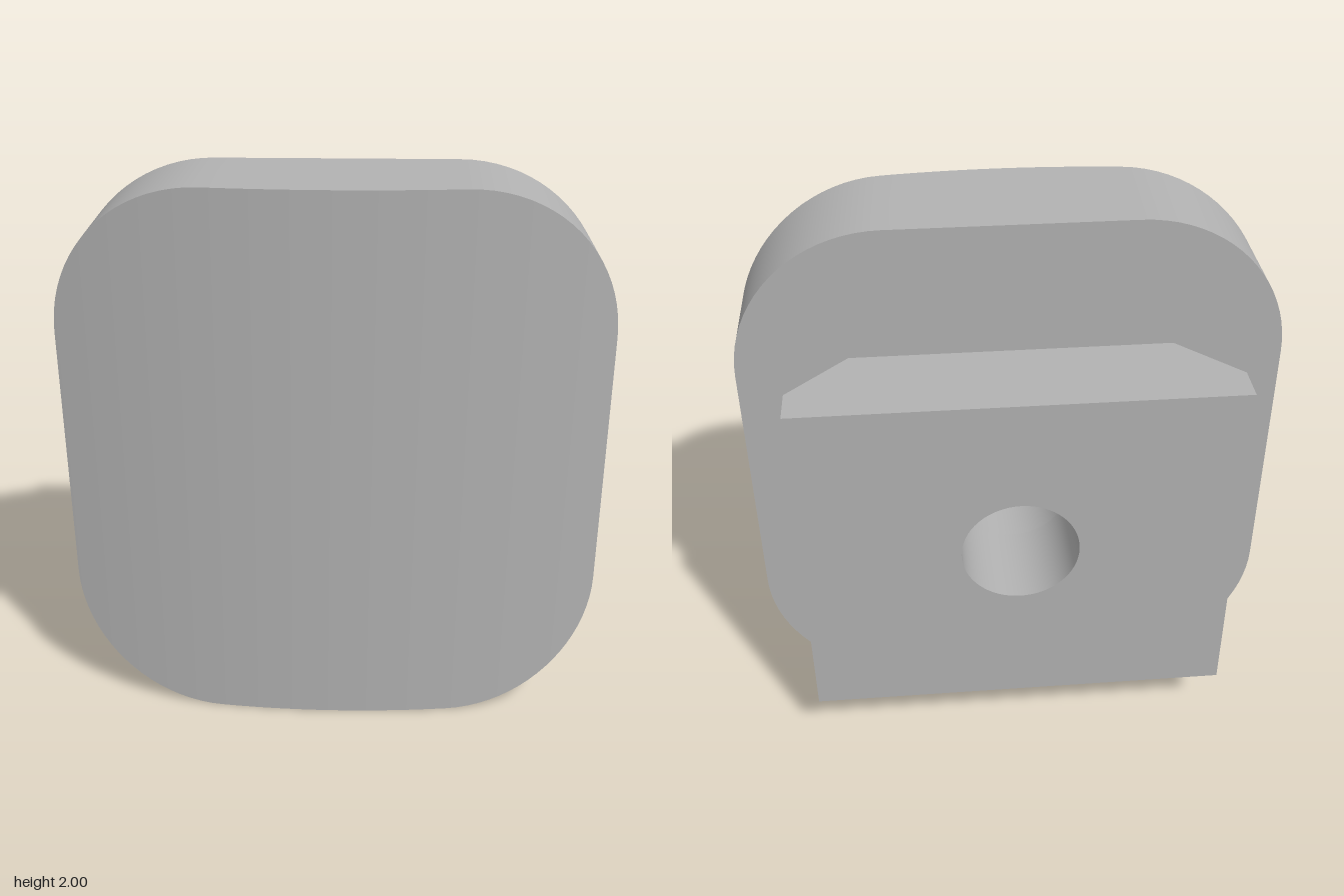
import * as THREE from 'three';
import { toCreasedNormals } from 'three/addons/utils/BufferGeometryUtils.js';

const W = 0.955, H = 1, R = 0.53;              // plate half width, half height, corner radius
const BACK = -0.05, CROWN = 0.395, EDGE = 0.27; // plate back, front centre and front edge in z
const HOLE_R = 0.21, HOLE_Y = 0.9, HOLE_END = 0.2;
const CREASE = 0.5;

// Crowned front: a circular arc across x
const sag = CROWN - EDGE;
const arcR = (W * W + sag * sag) / (2 * sag);
const frontZ = (x) => CROWN - arcR + Math.sqrt(arcR * arcR - x * x);

// Strip of quads between two equally long rows of points
function ribbon(a, b) {
  const pos = [], index = [];
  a.forEach((p, i) => {
    pos.push(...p, ...b[i]);
    const k = 2 * i;
    if (i < a.length - 1) index.push(k, k + 2, k + 3, k, k + 3, k + 1);
  });
  const g = new THREE.BufferGeometry();
  g.setAttribute('position', new THREE.Float32BufferAttribute(pos, 3));
  g.setIndex(index);
  return toCreasedNormals(g, CREASE);
}

function holePath() {
  return new THREE.Path().absarc(0, HOLE_Y, HOLE_R, 0, Math.PI * 2, true);
}

export function createModel() {
  const model = new THREE.Group();
  const grey = new THREE.MeshStandardMaterial({ color: 0xb2b2b2 });
  grey.name = 'grey';
  const add = (parent, name, geometry) => {
    const mesh = new THREE.Mesh(geometry, grey);
    mesh.name = name;
    parent.add(mesh);
  };

  // Upper edge of the rounded plate, left to right, as [x, height above centre]
  const corner = [];
  for (let i = 0; i <= 20; i++) {
    const t = (i / 20) * Math.PI / 2;
    corner.push([W - R + R * Math.cos(t), H - R + R * Math.sin(t)]);
  }
  const columns = corner.map(([x, h]) => [-x, h]);
  for (let i = 1; i < 14; i++) columns.push([(W - R) * (i / 7 - 1), H]);
  columns.push(...corner.slice().reverse());

  const bottom = columns.map(([x, h]) => [x, H - h]);
  const top = columns.map(([x, h]) => [x, H + h]);
  const outline = [...bottom, ...top.slice().reverse()];
  const loop = [...outline, outline[0]];
  const onFront = ([x, y]) => [x, y, frontZ(x)];
  const onBack = ([x, y]) => [x, y, BACK];

  // Rounded plate
  const plate = new THREE.Group();
  plate.name = 'plate';
  model.add(plate);
  add(plate, 'crownedFront', ribbon(bottom.map(onFront), top.map(onFront)));
  add(plate, 'plateRim', ribbon(loop.map(onBack), loop.map(onFront)));
  const backShape = new THREE.Shape(outline.map(([x, y]) => new THREE.Vector2(x, y)));
  backShape.holes.push(holePath());
  add(plate, 'plateBack', new THREE.ShapeGeometry(backShape, 32).rotateY(Math.PI).translate(0, 0, BACK));

  // Blind end of the hole inside the plate
  const bore = new THREE.LatheGeometry([
    new THREE.Vector2(HOLE_R, -BACK),
    new THREE.Vector2(HOLE_R, -HOLE_END),
    new THREE.Vector2(0, -HOLE_END),
  ], 64).rotateX(-Math.PI / 2).translate(0, HOLE_Y, 0);
  add(plate, 'blindBore', toCreasedNormals(bore, CREASE));

  // Dovetail block: a drilled slab whose sides taper towards the plate
  const X = 0.775, NECK = 0.565, Y0 = 0.2, Y1 = 1.525, REAR = -0.395, BEND = -0.26;
  const slab = new THREE.Shape([[-X, Y0], [X, Y0], [X, Y1], [-X, Y1]].map((p) => new THREE.Vector2(...p)));
  slab.holes.push(holePath());
  const depth = BACK - REAR;
  const block = new THREE.ExtrudeGeometry(slab, { depth, steps: 2, bevelEnabled: false, curveSegments: 32 });
  const p = block.attributes.position;
  for (let i = 0; i < p.count; i++) {
    const step = Math.round((p.getZ(i) / depth) * 2);
    p.setZ(i, [REAR, BEND, BACK][step]);
    if (step === 2 && Math.abs(p.getX(i)) > X - 0.01) p.setX(i, Math.sign(p.getX(i)) * NECK);
  }
  add(model, 'dovetailBlock', toCreasedNormals(block, CREASE));

  return model;
}
